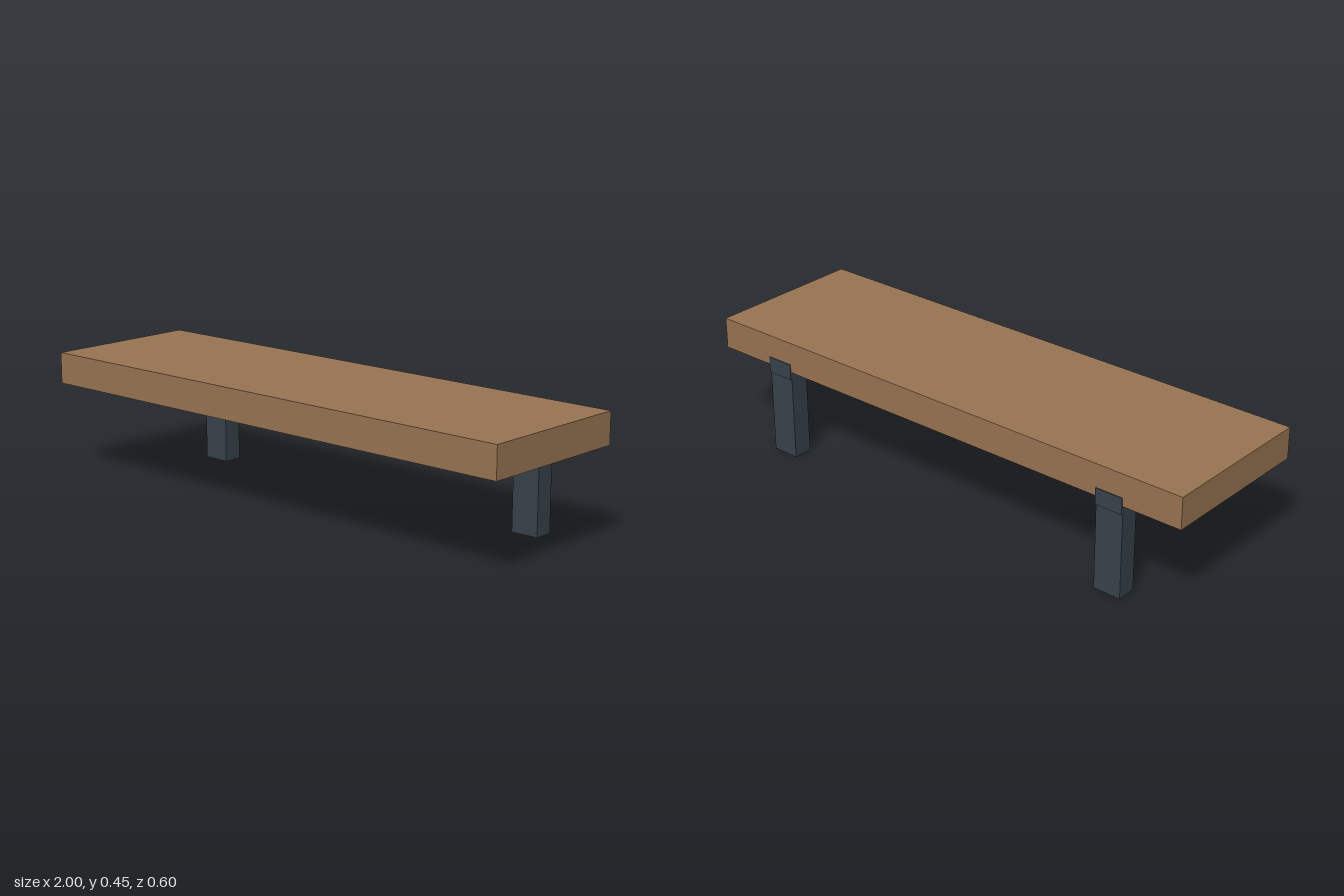
import * as THREE from 'three';

const wood = new THREE.MeshStandardMaterial({ color: 0x997453 });
wood.name = 'wood brown';
const metal = new THREE.MeshStandardMaterial({ color: 0x37434a });
metal.name = 'slate grey';

// Box given by its minimum and maximum corners
function box(name, material, [x0, y0, z0], [x1, y1, z1]) {
  const mesh = new THREE.Mesh(new THREE.BoxGeometry(x1 - x0, y1 - y0, z1 - z0), material);
  mesh.position.set((x0 + x1) / 2, (y0 + y1) / 2, (z0 + z1) / 2);
  mesh.name = name;
  return mesh;
}

export function createModel() {
  const group = new THREE.Group();
  group.name = 'bench';

  // Thick plank seat
  group.add(box('seat', wood, [-1, 0.34, -0.295], [1, 0.454, 0.298]));

  // Cantilever brackets: a rear post and an arm let into the seat, just proud at the back
  for (const side of [-1, 1]) {
    const bracket = new THREE.Group();
    bracket.name = side > 0 ? 'leftBracket' : 'rightBracket';
    bracket.position.x = side * 0.727;
    bracket.add(
      box('post', metal, [-0.052, 0, -0.292], [0.052, 0.311, -0.221]),
      box('arm', metal, [-0.052, 0.311, -0.298], [0.052, 0.37, 0.204]),
    );
    group.add(bracket);
  }
  return group;
}
